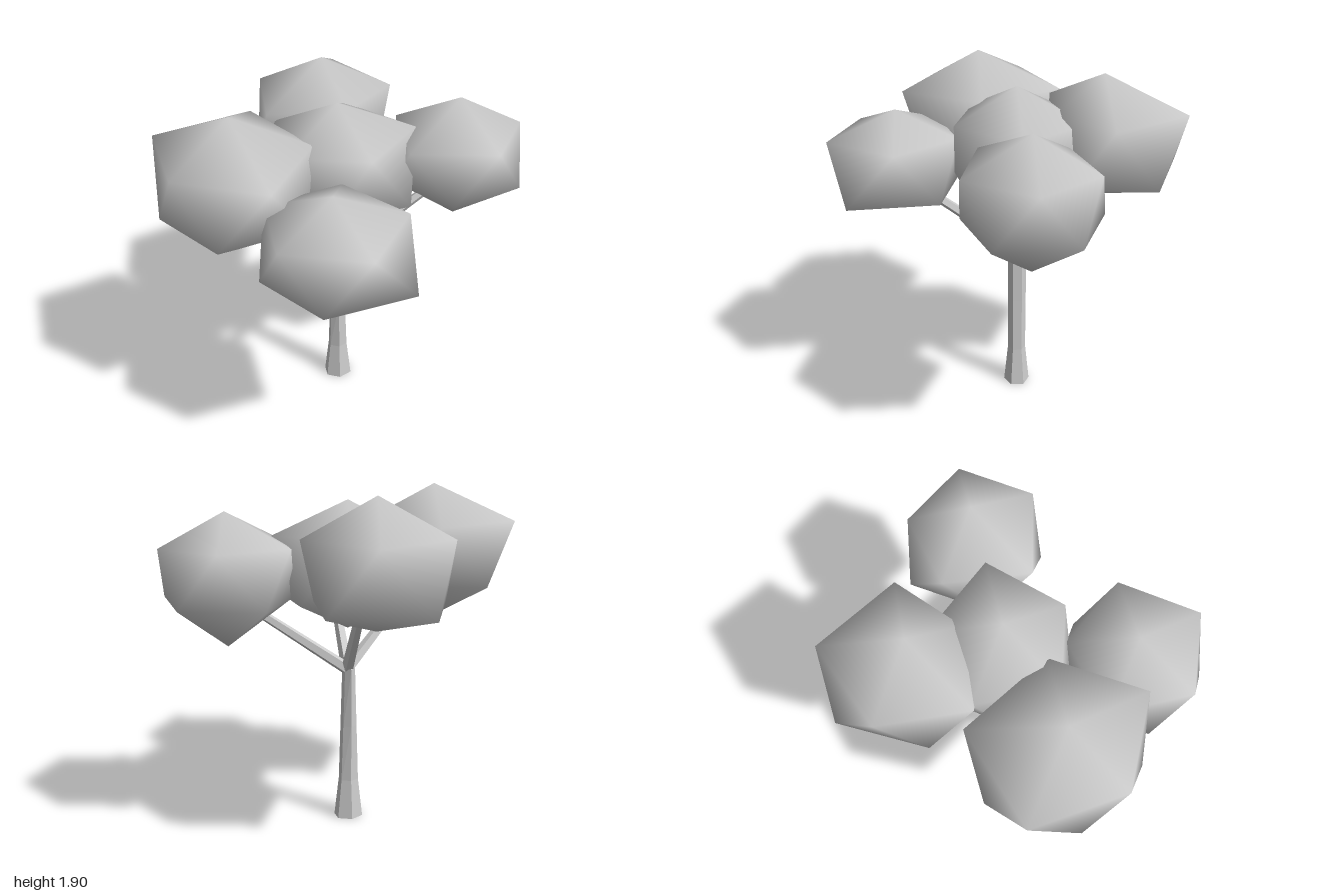
import * as THREE from 'three';

// Twelve-cornered leaf clump: two poles and two staggered rings of five, smooth shaded
function clumpGeometry({ x, z, top, bottom, upperY, lowerY, upper, lower }) {
  const pos = [x, top, z];
  const ring = (radii, y, phase) => radii.forEach((r, i) => {
    const a = phase + i * Math.PI * 0.4;
    pos.push(x + r * Math.cos(a), y, z + r * Math.sin(a));
  });
  ring(upper, upperY, 0);
  ring(lower, lowerY, Math.PI / 5);
  pos.push(x, bottom, z);
  const index = [];
  for (let i = 0; i < 5; i++) {
    const j = (i + 1) % 5;
    const u = 1 + i, v = 1 + j, l = 6 + i, m = 6 + j;
    index.push(0, v, u, u, v, l, l, v, m, l, m, 11);
  }
  const g = new THREE.BufferGeometry();
  g.setAttribute('position', new THREE.Float32BufferAttribute(pos, 3));
  g.setIndex(index);
  g.computeVertexNormals();
  return g;
}

// Six-sided trunk from stacked oval rings, closed at both ends
function trunkGeometry(rings, sides = 6) {
  const g = new THREE.CylinderGeometry(1, 1, 1, sides, rings.length - 1);
  const p = g.attributes.position;
  for (let i = 0; i < p.count; i++) {
    const k = Math.round((0.5 + p.getY(i)) * (rings.length - 1));
    const [y, rx, rz] = rings[k];
    p.setXYZ(i, p.getX(i) * rx, y, p.getZ(i) * rz);
  }
  g.computeVertexNormals();
  return g;
}

export function createModel() {
  const tree = new THREE.Group();
  tree.name = 'tree';
  const leafGrey = new THREE.MeshStandardMaterial({ color: 0xcccccc });
  leafGrey.name = 'light grey';
  const woodGrey = new THREE.MeshStandardMaterial({ color: 0xcccccc, flatShading: true });
  woodGrey.name = 'light grey wood';

  const add = (name, geometry, material) => {
    const mesh = new THREE.Mesh(geometry, material);
    mesh.name = name;
    tree.add(mesh);
    return mesh;
  };

  // Trunk with a flared foot
  const trunk = add('trunk', trunkGeometry([[0, 0.085, 0.075], [0.23, 0.058, 0.052],
    [0.56, 0.046, 0.053], [0.9, 0.034, 0.053]]), woodGrey);
  trunk.position.set(-0.035, 0, -0.065);

  // Branches running from the fork into the clumps
  const fork = new THREE.Vector3(-0.03, 0.89, -0.06);
  const branches = {
    rightBranch: [-0.42, 1.27, 0.07],
    leftBranch: [0.5, 1.27, -0.07],
    backBranch: [0.02, 1.33, -0.45],
    frontBranch: [-0.11, 1.25, 0.47],
  };
  for (const [name, end] of Object.entries(branches)) {
    const tip = new THREE.Vector3(...end);
    const dir = tip.clone().sub(fork);
    const mesh = add(name, new THREE.CylinderGeometry(0.025, 0.036, dir.length(), 5), woodGrey);
    mesh.position.copy(fork).add(tip).multiplyScalar(0.5);
    mesh.quaternion.setFromUnitVectors(new THREE.Vector3(0, 1, 0), dir.normalize());
  }

  // Leaf clumps: pole position, heights and the radii of each ring
  const clumps = {
    rightClump: { x: -0.61, z: 0.12, top: 1.9, bottom: 1.12, upperY: 1.7, lowerY: 1.36,
      upper: [0.42, 0.47, 0.39, 0.47, 0.49], lower: [0.42, 0.4, 0.39, 0.46, 0.42] },
    leftClump: { x: 0.65, z: -0.08, top: 1.8, bottom: 1.08, upperY: 1.62, lowerY: 1.33,
      upper: [0.35, 0.37, 0.42, 0.37, 0.34], lower: [0.37, 0.37, 0.37, 0.4, 0.36] },
    backClump: { x: -0.03, z: -0.53, top: 1.9, bottom: 1.215, upperY: 1.7, lowerY: 1.35,
      upper: [0.4, 0.3, 0.43, 0.4, 0.46], lower: [0.34, 0.32, 0.38, 0.47, 0.43] },
    frontClump: { x: -0.18, z: 0.6, top: 1.68, bottom: 1.105, upperY: 1.54, lowerY: 1.24,
      upper: [0.38, 0.39, 0.37, 0.38, 0.36], lower: [0.45, 0.37, 0.37, 0.36, 0.4] },
    middleClump: { x: -0.03, z: -0.06, top: 1.84, bottom: 1.13, upperY: 1.66, lowerY: 1.32,
      upper: [0.43, 0.36, 0.38, 0.38, 0.38], lower: [0.43, 0.36, 0.38, 0.38, 0.42] },
  };
  for (const [name, spec] of Object.entries(clumps)) add(name, clumpGeometry(spec), leafGrey);

  return tree;
}
